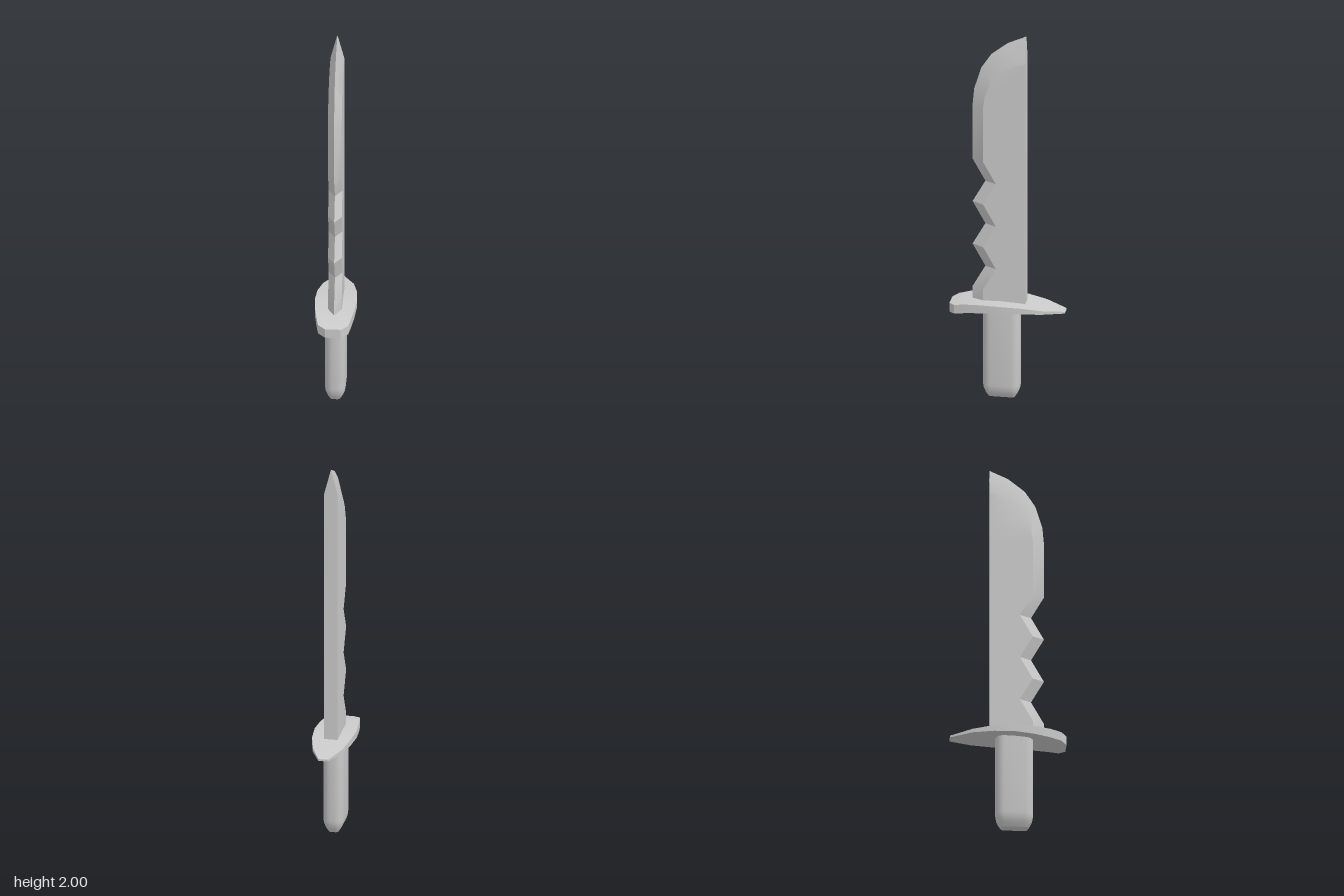
import * as THREE from 'three';
import { toCreasedNormals } from 'three/addons/utils/BufferGeometryUtils.js';

const material = new THREE.MeshStandardMaterial({ color: 0xcccccc });

// Skins a list of matching rings (counter-clockwise seen from the last ring) and caps both ends
function loft(name, rings, crease) {
  const n = rings[0].length;
  const positions = rings.flat(2);
  const index = [];
  for (let r = 0; r < rings.length - 1; r++) {
    for (let i = 0; i < n; i++) {
      const a = r * n + i, b = r * n + (i + 1) % n;
      index.push(a, b, b + n, a, b + n, a + n);
    }
  }
  const last = (rings.length - 1) * n;
  for (let i = 1; i < n - 1; i++) {
    index.push(0, i + 1, i, last, last + i, last + i + 1);
  }
  const geometry = new THREE.BufferGeometry();
  geometry.setAttribute('position', new THREE.Float32BufferAttribute(positions, 3));
  geometry.setIndex(index);
  const mesh = new THREE.Mesh(toCreasedNormals(geometry, crease), material);
  mesh.name = name;
  return mesh;
}

// Blade: flat spine, parallel cheeks and a bevel running to the cutting edge
function createBlade() {
  const half = 0.035, spine = -0.095, bevel = 0.06;
  // rows: edge z, edge y, bevel shoulder z, shoulder y
  const rows = [[0.183, 0.5, 0.123, 0.5]];
  // serrations: alternating teeth and notches
  for (let i = 0; i < 7; i++) {
    const z = i % 2 ? 0.117 : 0.183;
    const y = 0.593 + i * 0.118;
    rows.push([z, y, z - bevel, y]);
  }
  // straight edge, then the curve up to the point
  rows.push(
    [0.183, 1.60, 0.123, 1.60],
    [0.175, 1.69, 0.115, 1.66],
    [0.138, 1.81, 0.085, 1.74],
    [0.085, 1.89, 0.03, 1.81],
    [0, 1.957, -0.035, 1.85],
    [spine, 2, spine, 1.867]
  );
  const rings = rows.map(([ez, ey, sz, sy]) => [
    [0, ey, ez], [half, sy, sz], [half, sy, spine], [-half, sy, spine], [-half, sy, sz]
  ]);
  return loft('blade', rings, 0.45);
}

// Guard: curved leaf-shaped plate, thicker towards the front
function createGuard() {
  // z, half width, bottom y, top y
  const rows = [
    [-0.297, 0.025, 0.487, 0.497],
    [-0.187, 0.078, 0.495, 0.515],
    [-0.08, 0.1, 0.498, 0.53],
    [0.025, 0.108, 0.497, 0.535],
    [0.13, 0.1, 0.489, 0.533],
    [0.21, 0.088, 0.478, 0.526],
    [0.265, 0.077, 0.467, 0.515],
    [0.295, 0.04, 0.46, 0.508]
  ];
  const rings = rows.map(([z, w, bottom, top]) => [
    [w, bottom, z], [w, top, z], [-w, top, z], [-w, bottom, z]
  ]);
  return loft('guard', rings, 0.4);
}

// Handle: rounded bar with a softened butt
function createHandle() {
  const halfX = 0.053, halfZ = 0.096, radius = 0.042, centreZ = 0.031, steps = 5;
  const ring = (y, inset) => {
    const points = [];
    for (let corner = 0; corner < 4; corner++) {
      const signX = corner < 2 ? 1 : -1;
      const signZ = corner === 0 || corner === 3 ? 1 : -1;
      for (let i = 0; i <= steps; i++) {
        const angle = (corner + i / steps) * Math.PI / 2;
        points.push([
          signX * (halfX - radius) + (radius - inset) * Math.sin(angle),
          y,
          centreZ + signZ * (halfZ - radius) + (radius - inset) * Math.cos(angle)
        ]);
      }
    }
    return points;
  };
  const rings = [[0, 0.028], [0.02, 0.015], [0.045, 0.004], [0.07, 0], [0.51, 0]]
    .map(([y, inset]) => ring(y, inset));
  return loft('handle', rings, 0.6);
}

export function createModel() {
  const model = new THREE.Group();
  model.name = 'knife';
  model.add(createBlade(), createGuard(), createHandle());
  return model;
}
